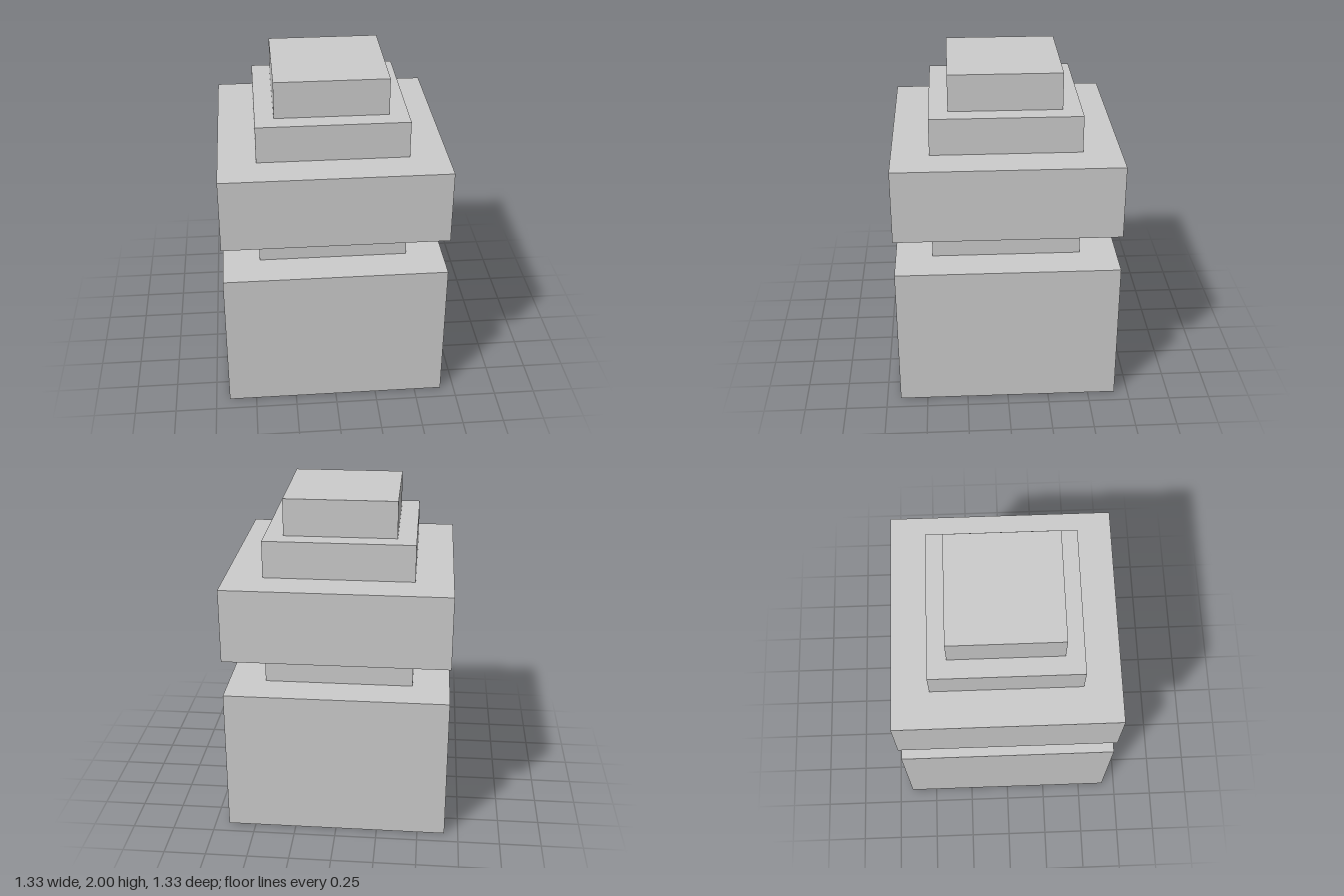
import * as THREE from 'three';

// All sizes are whole multiples of one unit; 18 units make the full height.
const UNIT = 1 / 9;

// Square tiers from the bottom up: name, width, height
const TIERS = [
  ['base', 12, 8],
  ['neck', 8, 2],
  ['upperBlock', 12, 4],
  ['lowerStep', 8, 2],
  ['topStep', 6, 2],
];

export function createModel() {
  const group = new THREE.Group();
  group.name = 'steppedPillar';
  const material = new THREE.MeshStandardMaterial({ color: 0xcccccc, flatShading: true });

  // Stack each tier on the one below
  let y = 0;
  for (const [name, width, height] of TIERS) {
    const w = width * UNIT;
    const h = height * UNIT;
    const tier = new THREE.Mesh(new THREE.BoxGeometry(w, h, w), material);
    tier.name = name;
    tier.position.y = y + h / 2;
    group.add(tier);
    y += h;
  }
  return group;
}
